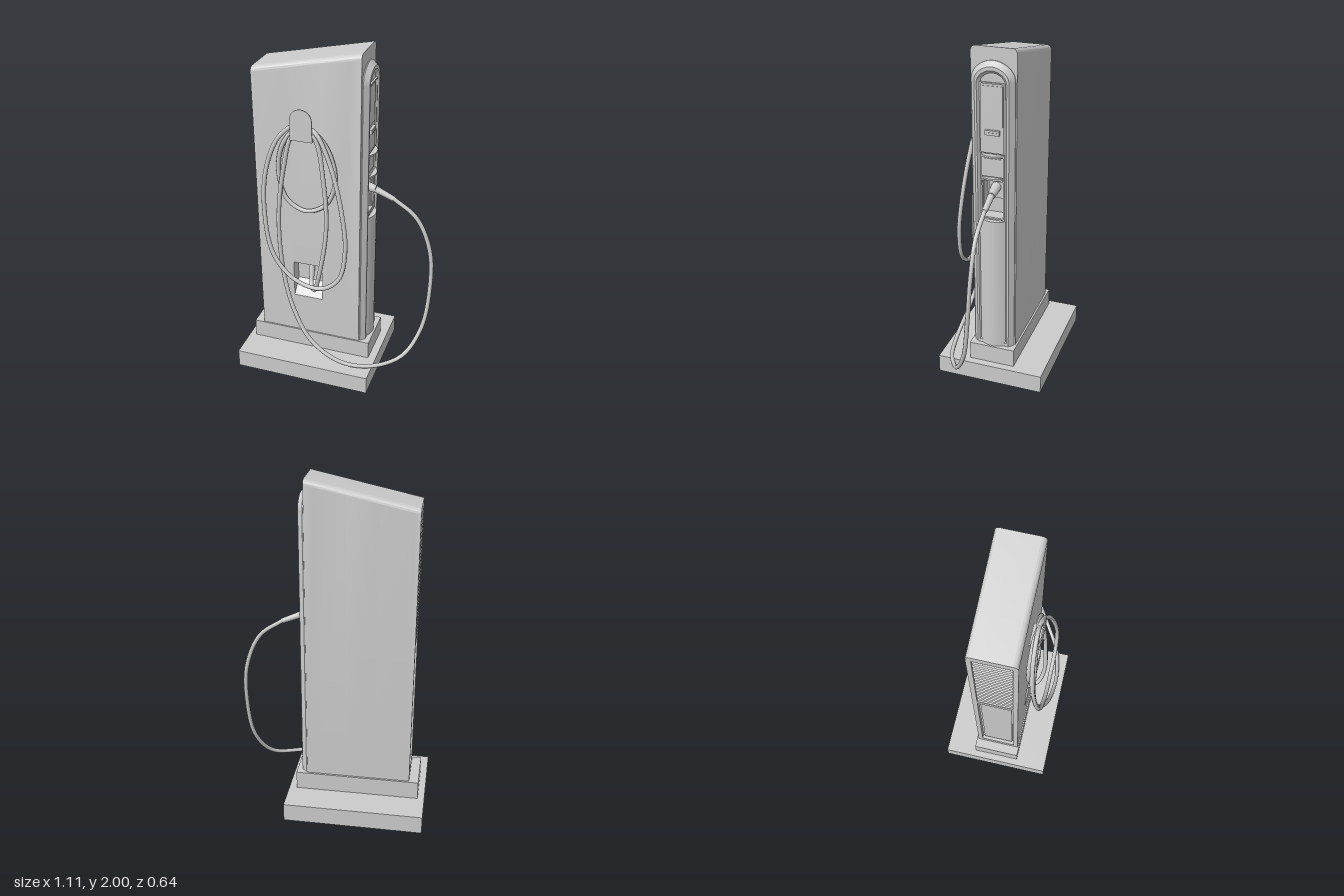
import * as THREE from 'three';
import { toCreasedNormals } from 'three/addons/utils/BufferGeometryUtils.js';

const grey = new THREE.MeshStandardMaterial({ color: 0xcccccc });
const greyDouble = new THREE.MeshStandardMaterial({ color: 0xcccccc, side: THREE.DoubleSide });

export function createModel() {
  const model = new THREE.Group();

  const add = (name, geometry, material = grey) => {
    const mesh = new THREE.Mesh(geometry, material);
    mesh.name = name;
    model.add(mesh);
    return mesh;
  };
  // Box given by its limits
  const box = (name, x0, x1, y0, y1, z0, z1) => {
    const mesh = add(name, new THREE.BoxGeometry(x1 - x0, y1 - y0, z1 - z0));
    mesh.position.set((x0 + x1) / 2, (y0 + y1) / 2, (z0 + z1) / 2);
    return mesh;
  };
  const rectPath = (w, y0, y1) => new THREE.Path([[-w, y0], [-w, y1], [w, y1], [w, y0]].map(p => new THREE.Vector2(...p)));
  // Extrudes a (-z, y) outline along x
  const extrudeX = (shape, x0, x1, options = {}) =>
    new THREE.ExtrudeGeometry(shape, { depth: x1 - x0, bevelEnabled: false, curveSegments: 12, ...options })
      .rotateY(Math.PI / 2).translate(x0, 0, 0);

  // Foundation, hollow underneath, and plinth
  const baseOutline = new THREE.BoxGeometry(0.815, 0.11, 0.64);
  const index = Array.from(baseOutline.index.array);
  index.splice(18, 6); // leave the bottom open
  baseOutline.setIndex(index);
  add('base', baseOutline, greyDouble).position.set(-0.1475, 0.055, 0);
  box('plinth', -0.515, 0.215, 0.11, 0.22, -0.138, 0.135);

  // Cabinet, in slices along x so that the recesses are real openings
  const W = 0.127, TOP = 1.87, R = 0.028;
  const section = (notch) => {
    const s = new THREE.Shape();
    s.moveTo(W, 0.21);
    s.lineTo(W, TOP - R);
    s.absarc(W - R, TOP - R, R, 0, Math.PI / 2);
    s.absarc(-W + R, TOP - R, R, Math.PI / 2, Math.PI);
    if (notch) {
      s.lineTo(-W, 0.7);
      s.lineTo(-0.055, 0.7);
      s.lineTo(-0.055, 0.55);
      s.lineTo(-W, 0.47);
    }
    s.lineTo(-W, 0.21);
    return s;
  };
  const slice = (name, x0, x1, { notch = false, holes = [] } = {}) => {
    const s = section(notch);
    s.holes.push(...holes);
    const g = extrudeX(s, x0, x1);
    const p = g.attributes.position;
    for (let i = 0; i < p.count; i++) { // sloping roof
      if (p.getY(i) > TOP - R - 0.001) p.setY(i, p.getY(i) + (p.getX(i) + 0.46) * 0.213);
    }
    g.computeVertexNormals();
    add(name, toCreasedNormals(g, 0.5));
  };
  slice('ventFrame', -0.46, -0.435, { holes: [rectPath(0.1, 0.26, 1.09), rectPath(0.1, 1.13, 1.82)] });
  slice('cabinetRear', -0.435, -0.25);
  slice('cabinetMiddle', -0.25, -0.075, { notch: true });
  slice('cabinetFront', -0.075, 0.09);
  slice('cabinetFace', 0.09, 0.15, { holes: [rectPath(0.058, 1.05, 1.27)] });

  // Louvres and service door on the narrow rear side
  for (let i = 0; i < 24; i++) {
    const slat = box('louvre', -0.452, -0.448, 0, 0.03, -0.098, 0.098);
    slat.position.y = 1.147 + i * 0.0285;
    slat.rotation.z = -0.65;
  }
  box('serviceDoor', -0.445, -0.43, 0.275, 1.075, -0.088, 0.088);

  // Arched bezel on the operating side
  const arch = (Type, w, y0, y1, rise) => {
    const s = new Type();
    const r = w * 0.35, side = y1 - rise;
    s.moveTo(w, y0);
    s.lineTo(w, side - r);
    s.quadraticCurveTo(w, side, w - r, side + rise * 0.55);
    s.quadraticCurveTo(0, y1 + rise * 0.45, -w + r, side + rise * 0.55);
    s.quadraticCurveTo(-w, side, -w, side - r);
    s.lineTo(-w, y0);
    s.closePath();
    return s;
  };
  const bezel = arch(THREE.Shape, 0.095, 0.22, 1.905, 0.045);
  bezel.holes.push(arch(THREE.Path, 0.083, 0.24, 1.885, 0.04));
  add('bezel', toCreasedNormals(extrudeX(bezel, 0.152, 0.157, {
    bevelEnabled: true, bevelThickness: 0.028, bevelSize: 0.026, bevelSegments: 1,
  }), 0.5));

  // Operating panel with the holster opening
  const panel = arch(THREE.Shape, 0.078, 0.22, 1.875, 0.04);
  panel.holes.push(rectPath(0.06, 1.05, 1.27));
  add('panel', toCreasedNormals(extrudeX(panel, 0.148, 0.168), 0.5));

  // Raised frame round an opening on the panel
  const frame = (name, w, y0, y1, t, x1) => {
    const s = new THREE.Shape(rectPath(w, y0, y1).getPoints());
    s.holes.push(rectPath(w - t, y0 + t, y1 - t));
    add(name, extrudeX(s, 0.16, x1));
  };
  frame('screenFrame', 0.07, 1.43, 1.82, 0.007, 0.178);
  frame('keypadFrame', 0.068, 1.295, 1.415, 0.006, 0.178);
  frame('holsterFrame', 0.068, 1.04, 1.28, 0.008, 0.176);
  box('screen', 0.16, 0.171, 1.58, 1.8, -0.056, 0.056);
  box('cardReader', 0.16, 0.184, 1.535, 1.562, -0.04, 0.04);
  box('cardSlot', 0.18, 0.187, 1.545, 1.551, -0.03, 0.03);
  box('keypad', 0.16, 0.172, 1.31, 1.4, -0.055, 0.055);

  // Bulging lower cover and two ledges sharing its curve
  const bulge = (name, w, y0, y1) => {
    const s = new THREE.Shape();
    s.moveTo(0.155, -w);
    s.lineTo(0.178, -w);
    s.quadraticCurveTo(0.23, 0, 0.178, w);
    s.lineTo(0.155, w);
    const g = new THREE.ExtrudeGeometry(s, { depth: y1 - y0, bevelEnabled: false, curveSegments: 16 });
    add(name, toCreasedNormals(g.rotateX(-Math.PI / 2).translate(0, y0, 0), 0.5));
  };
  bulge('lowerCover', 0.075, 0.21, 1.04);
  bulge('ledge', 0.068, 1.285, 1.295);
  bulge('ledge', 0.068, 1.415, 1.425);

  // Cable hook: shelf and arched front plate
  box('hookShelf', -0.225, -0.1, 1.51, 1.535, 0.12, 0.184);
  const plate = new THREE.Shape();
  plate.moveTo(-0.0625, 1.51);
  plate.lineTo(0.0625, 1.51);
  plate.lineTo(0.0625, 1.6275);
  plate.absarc(0, 1.6275, 0.0625, 0, Math.PI);
  add('hookPlate', toCreasedNormals(new THREE.ExtrudeGeometry(plate, { depth: 0.006, bevelEnabled: false, curveSegments: 20 }), 0.5))
    .position.set(-0.1625, 0, 0.182);

  // Cable: niche, over the hook, large loop, small loop, long strand to the plug
  const cablePath = [
    [-0.155, 0.64, 0.08], [-0.145, 0.56, 0.12], [-0.11, 0.558, 0.17], [-0.07, 0.68, 0.2],
    [-0.025, 1.0, 0.19], [-0.045, 1.3, 0.175], [-0.09, 1.52, 0.163], [-0.17, 1.6, 0.16],
    [-0.29, 1.52, 0.165], [-0.37, 1.33, 0.18], [-0.385, 1.08, 0.205], [-0.33, 0.8, 0.23],
    [-0.2, 0.66, 0.24], [-0.05, 0.628, 0.24], [0.06, 0.71, 0.24], [0.1, 0.9, 0.235],
    [0.07, 1.15, 0.215], [-0.01, 1.42, 0.185], [-0.1, 1.57, 0.165], [-0.19, 1.57, 0.15],
    [-0.28, 1.47, 0.147], [-0.315, 1.3, 0.147], [-0.27, 1.13, 0.147], [-0.16, 1.07, 0.147],
    [-0.04, 1.13, 0.147], [0.015, 1.3, 0.147], [-0.04, 1.49, 0.15], [-0.14, 1.575, 0.155],
    [-0.22, 1.53, 0.165], [-0.27, 1.35, 0.172], [-0.31, 1.03, 0.18], [-0.29, 0.7, 0.198],
    [-0.22, 0.45, 0.23], [-0.1, 0.26, 0.262], [0.08, 0.155, 0.272], [0.26, 0.138, 0.235],
    [0.42, 0.18, 0.14], [0.51, 0.34, 0.055], [0.541, 0.6, 0.015], [0.525, 0.85, 0],
    [0.44, 1.05, 0], [0.3, 1.155, 0],
  ].map(p => new THREE.Vector3(...p));
  add('cable', new THREE.TubeGeometry(new THREE.CatmullRomCurve3(cablePath), 360, 0.0125, 8));

  // Rod between two points, with its own radius at each end
  const rod = (name, a, b, r0, r1) => {
    const from = new THREE.Vector3(...a), to = new THREE.Vector3(...b);
    const mesh = add(name, new THREE.CylinderGeometry(r1, r0, from.distanceTo(to), 16));
    mesh.position.copy(from).lerp(to, 0.5);
    mesh.quaternion.setFromUnitVectors(new THREE.Vector3(0, 1, 0), to.sub(from).normalize());
  };
  rod('plugGrip', [0.2, 1.195, 0], [0.305, 1.15, 0], 0.019, 0.015);
  rod('plugHead', [0.1, 1.22, 0], [0.2, 1.195, 0], 0.03, 0.022);
  rod('cableGland', [-0.157, 0.68, 0.07], [-0.152, 0.6, 0.1], 0.02, 0.016);
  box('holsterSocket', 0.085, 0.12, 1.15, 1.25, -0.04, 0.04);

  return model;
}
